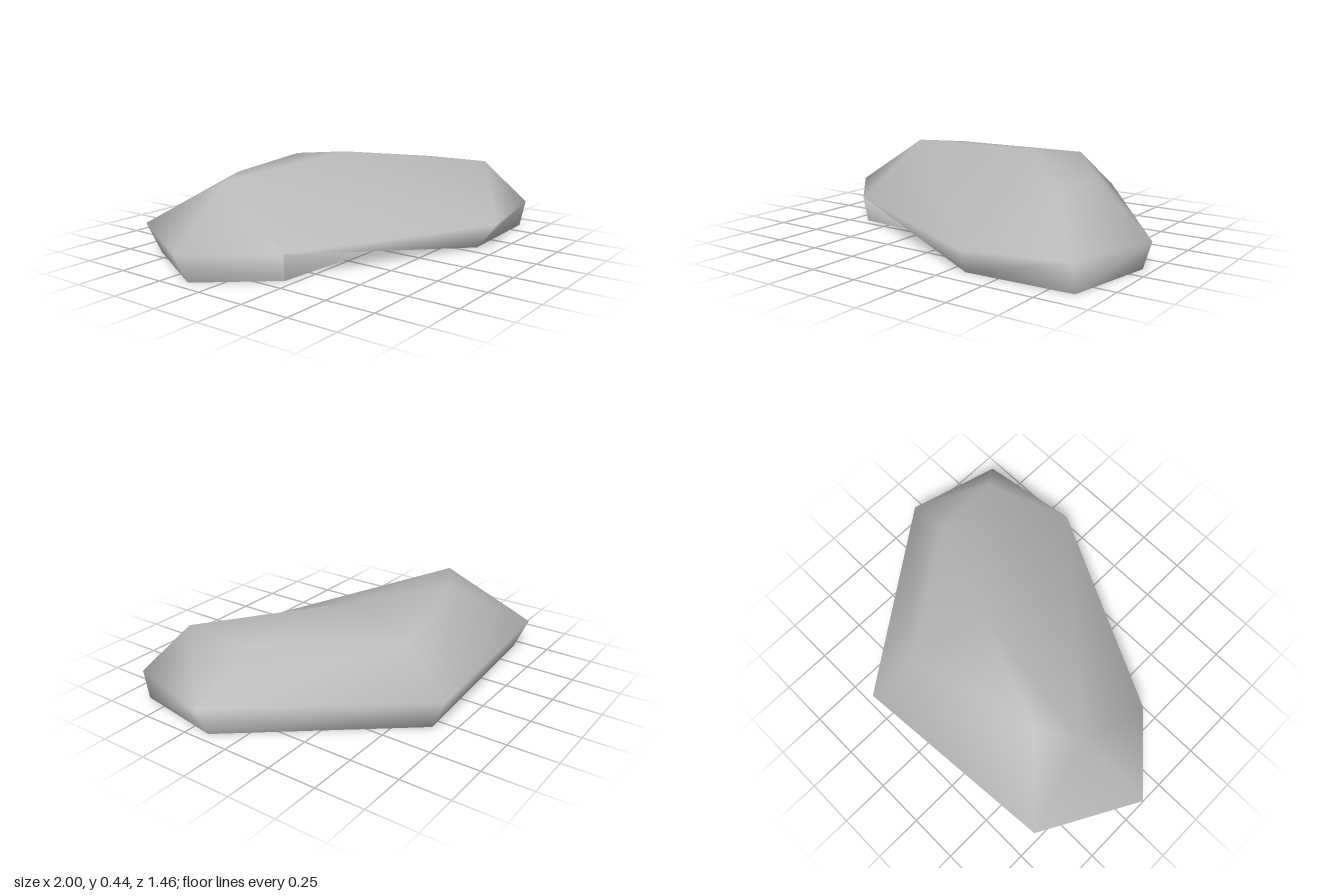
import * as THREE from 'three';

// Low smooth-shaded boulder: an open base ring, a wide waist ring and a faceted crown,
// with the front left side folded inwards at the base.
export function createModel() {
  const group = new THREE.Group();
  group.name = 'rock';
  const stone = new THREE.MeshStandardMaterial({ color: 0xb8b8b8, side: THREE.DoubleSide });
  stone.name = 'grey stone';

  // Rings run clockwise seen from above, starting at the -x tip
  const base = [
    [-0.94, 0, -0.13], [-0.69, 0, -0.58], [0.31, 0, -0.65], [0.95, 0, 0.15],
    [0.87, 0, 0.62], [0.33, 0, 0.64], [-0.66, 0, 0.2],
  ];
  const waist = [
    [-1, 0.14, -0.15], [-0.73, 0.15, -0.64], [0.34, 0.17, -0.73], [1, 0.14, 0.17],
    [0.87, 0.14, 0.65], [0.36, 0.13, 0.73], [-0.68, 0.13, 0.21],
  ];
  const crown = [
    [-0.61, 0.40, -0.2], [-0.4, 0.395, -0.32], [0.27, 0.375, -0.49],
    [0.7, 0.362, 0.12], [0.71, 0.37, 0.47], [0.18, 0.44, -0.09],
  ];
  const foldFoot = [-0.06, 0, 0.25];
  const points = [...base, ...waist, ...crown, foldFoot];
  const n = base.length;
  const [L, BL, BR, R, FR, F, FL] = waist.map((_, i) => n + i);
  const [A, B, C, D, E, T] = crown.map((_, i) => 2 * n + i);
  const P = points.length - 1;
  const baseF = 5, baseFL = 6;

  const addMesh = (name, index) => {
    const geometry = new THREE.BufferGeometry();
    geometry.setAttribute('position', new THREE.Float32BufferAttribute(points.flat(), 3));
    geometry.setIndex(index);
    geometry.computeVertexNormals();
    const mesh = new THREE.Mesh(geometry, stone);
    mesh.name = name;
    group.add(mesh);
  };

  // Undercut wall between base and waist, left open along the front left side
  const shell = [];
  for (let i = 0; i < n; i++) {
    if (i === baseF) continue;
    const j = (i + 1) % n;
    shell.push(j, i, n + i, j, n + i, n + j);
  }
  shell.push(FL, baseF, F);

  // Sloping shoulders and top facets
  shell.push(
    L, FL, A, BL, L, A, BL, A, B, BR, BL, B, BR, B, C, R, BR, C,
    R, C, D, R, D, E, FR, R, E, F, FR, E, F, E, T, F, T, A, FL, F, A,
    T, C, B, T, B, A, T, D, C, T, E, D,
  );
  addMesh('rockShell', shell);

  // Inner sheets of the fold, reaching from the crown down to the base
  addMesh('innerFold', [baseFL, P, FL, FL, P, A]);
  addMesh('foldEdge', [baseF, F, A]);
  return group;
}
